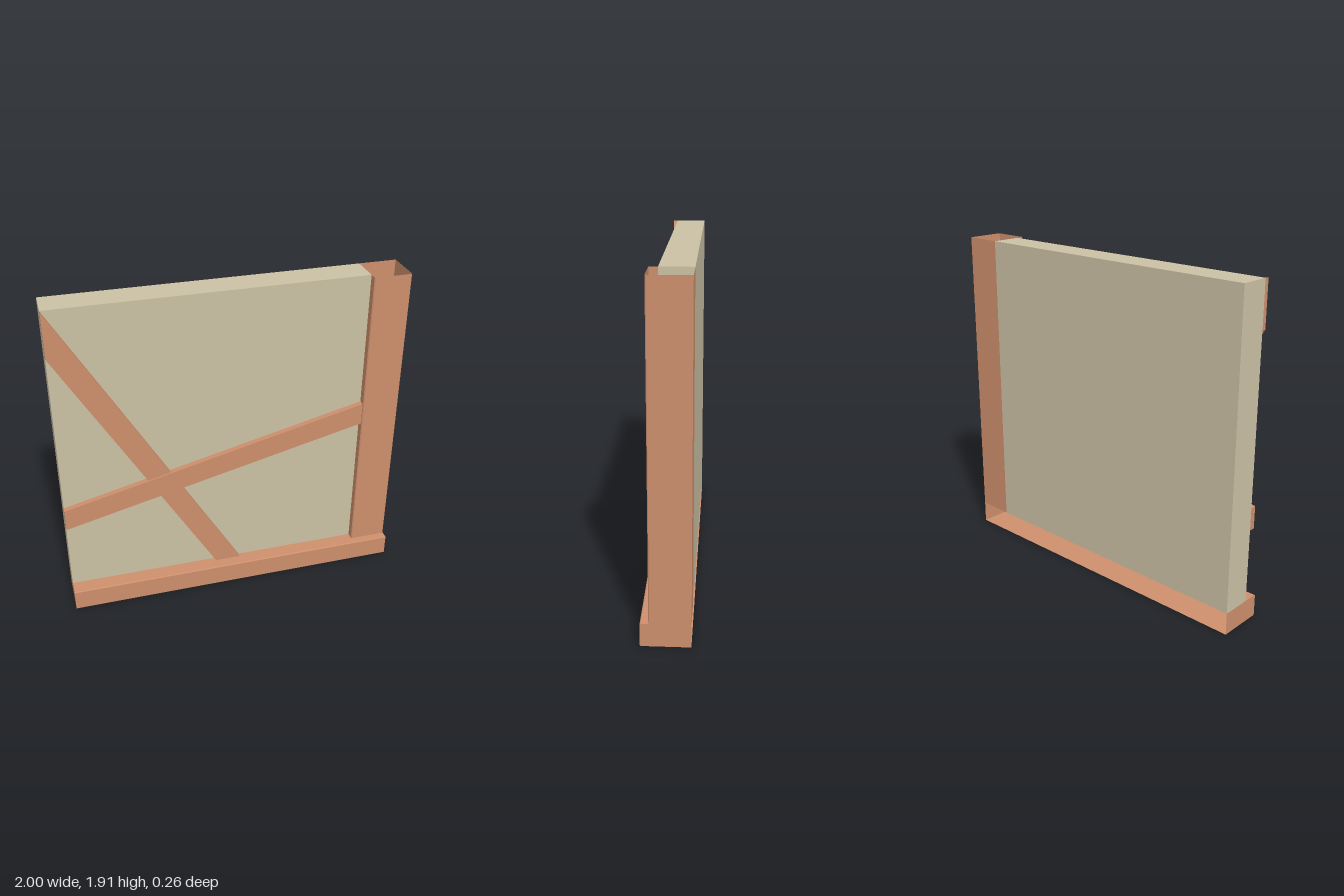
import * as THREE from 'three';

const brown = new THREE.MeshStandardMaterial({ color: 0xcd8f6c, side: THREE.DoubleSide, flatShading: true });
const plaster = new THREE.MeshStandardMaterial({ color: 0xcbc0a4 });

// Thin open sheet: sweeps a 2D profile from a to b; place(u, v, t) gives the 3D point.
function sheet(profile, a, b, place) {
  const pos = [];
  for (let i = 0; i < profile.length - 1; i++) {
    const [p, q] = [profile[i], profile[i + 1]];
    const c = [place(...p, a), place(...q, a), place(...q, b), place(...p, b)];
    for (const k of [0, 1, 2, 0, 2, 3]) pos.push(...c[k]);
  }
  const g = new THREE.BufferGeometry();
  g.setAttribute('position', new THREE.Float32BufferAttribute(pos, 3));
  g.computeVertexNormals();
  return g;
}

function shapeOf(points) {
  return new THREE.Shape(points.map(([x, y]) => new THREE.Vector2(x, y)));
}

export function createModel() {
  const group = new THREE.Group();
  const add = (name, geometry, material, parent = group) => {
    const mesh = new THREE.Mesh(geometry, material);
    mesh.name = name;
    parent.add(mesh);
    return mesh;
  };

  // Plaster infill, resting above the sill
  add('panel', new THREE.BoxGeometry(1.78, 1.78, 0.175), plaster).position.set(-0.11, 1.02, -0.0475);

  // Corner post: hollow, open above and below, wrapping the panel's end
  const post = [[0.78, 0.04], [0.78, 0.08], [0.785, 0.085], [0.995, 0.085], [1, 0.08], [1, -0.135], [0.78, -0.135]];
  add('cornerPost', sheet(post, 0.13, 1.91, (x, z, y) => [x, y, z]), brown);

  // Sill: floor, chamfered front and top ledge, open at the back
  const sill = new THREE.Group();
  sill.name = 'sill';
  group.add(sill);
  const front = [[-0.135, 0], [0.125, 0], [0.13, 0.005], [0.13, 0.125], [0.125, 0.13], [0.085, 0.13]];
  const alongX = (z, y, x) => [x, y, z];
  add('sillFront', sheet(front, -1, 1, alongX), brown, sill);
  add('sillLedge', sheet([[0.085, 0.13], [0.04, 0.13]], -1, 0.78, alongX), brown, sill);
  const end = shapeOf([...front.map(([z, y]) => [-z, y]), [0.135, 0.13]]);
  for (const x of [-1, 1]) {
    const cap = add('sillEnd', new THREE.ShapeGeometry(end), brown, sill);
    cap.rotation.y = Math.PI / 2;
    cap.position.x = x;
  }

  // Slanting timbers on the face of the panel
  const brace = (name, points, z) => {
    const g = new THREE.ExtrudeGeometry(shapeOf(points), { depth: z - 0.04, bevelEnabled: false });
    add(name, g, brown).position.z = 0.04;
  };
  brace('crossRail', [[-1, 0.56], [0.875, 1.013], [0.845, 1.137], [-1, 0.69]], 0.075);
  brace('diagonalBrace', [[-1, 1.65], [-0.063, 0.044], [0.05, 0.11], [-1, 1.91]], 0.065);

  return group;
}
